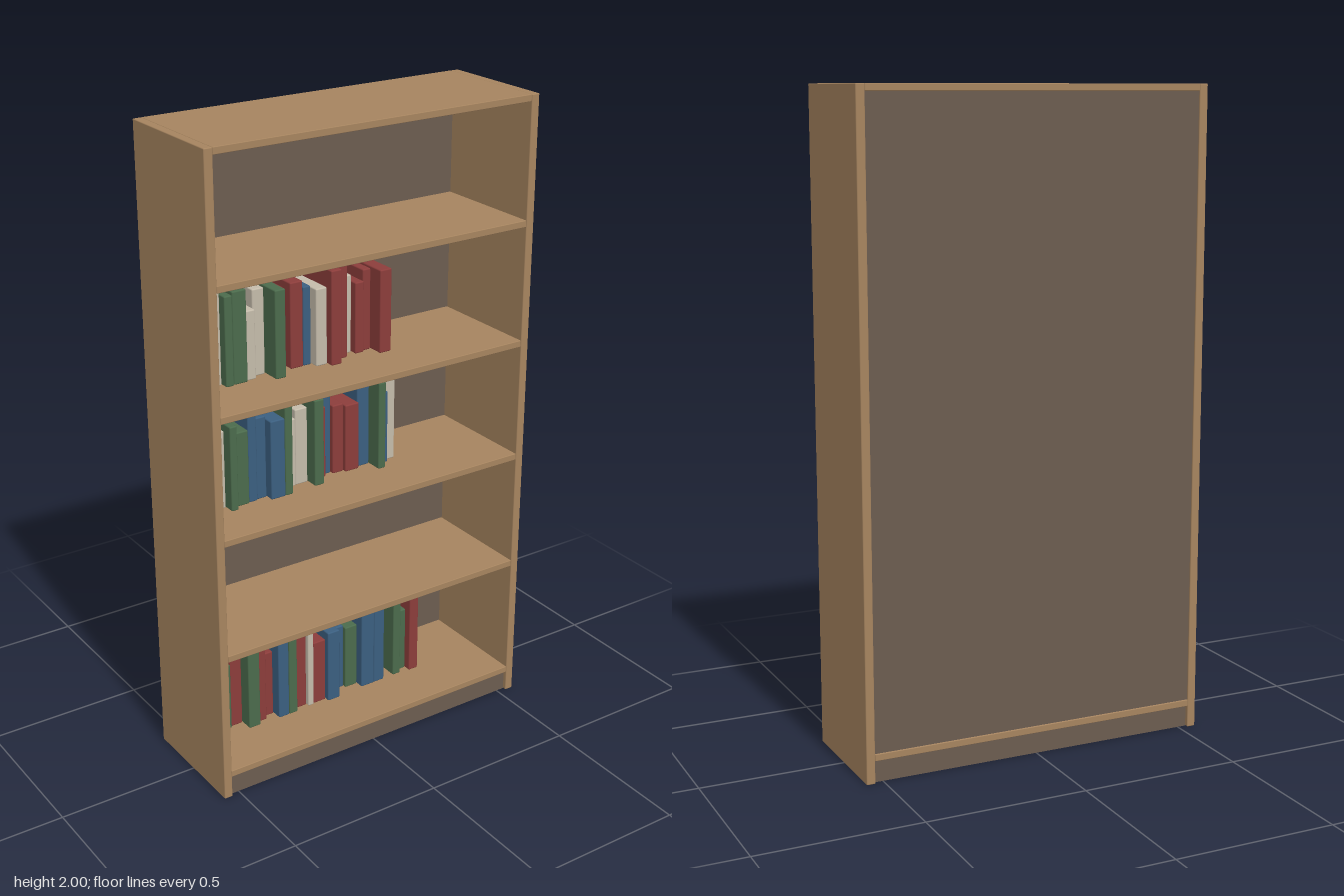
import * as THREE from 'three';
import { RoundedBoxGeometry } from 'three/addons/geometries/RoundedBoxGeometry.js';

const mat = (name, color) => {
  const m = new THREE.MeshStandardMaterial({ color });
  m.name = name;
  return m;
};

export function createModel() {
  const wood = mat('wood', 0xa6845f);
  const backing = mat('darkPanel', 0x6c5c50);
  const covers = {
    r: mat('redCover', 0x8c3d3b),
    g: mat('greenCover', 0x4b6b4c),
    b: mat('blueCover', 0x3b5f80),
    c: mat('creamCover', 0xc4bbaa),
  };

  const model = new THREE.Group();
  model.name = 'bookcase';

  // Box from min and max corners, with an optional softened edge
  function board(parent, name, material, min, max, radius = 0) {
    const size = max.map((v, i) => v - min[i]);
    const geometry = radius
      ? new RoundedBoxGeometry(...size, 2, radius)
      : new THREE.BoxGeometry(...size);
    const mesh = new THREE.Mesh(geometry, material);
    mesh.name = name;
    mesh.position.set(...max.map((v, i) => (v + min[i]) / 2));
    parent.add(mesh);
  }

  const W = 0.555, IN = 0.528, D = 0.193, T = 0.021;

  // Carcass
  board(model, 'rightSide', wood, [-W, 0, -D], [-IN, 2, D], 0.003);
  board(model, 'leftSide', wood, [IN, 0, -D], [W, 2, D], 0.003);
  board(model, 'backPanel', backing, [-IN, 0.08, -0.188], [IN, 1.985, -0.178]);
  board(model, 'plinth', backing, [-IN, 0, -0.18], [IN, 0.07, 0.18]);

  // Shelves, by the height of their upper faces; only the end boards reach the back
  const shelfTops = [0.09, 0.489, 0.867, 1.246, 1.625, 2];
  shelfTops.forEach((y, i) => {
    const end = i === 0 || i === 5;
    const name = i === 5 ? 'topBoard' : i === 0 ? 'bottomShelf' : 'shelf';
    board(model, name, wood, [-IN, y - T, end ? -D : -0.18], [IN, y, D - 0.001], 0.002);
  });

  // Rows of books: colour letter, thickness and height in thousandths
  const rows = [
    { y: 0.09, first: 0.01, last: 0.03, books:
      'b31,222 g33,222 g48,228 r41,281 g41,270 r31,260 r34,228 b38,270 g30,307 r43,270 c21,286 ' +
      'r46,222 b44,249 b44,228 g45,222 b49,275 b39,281 c36,233 g29,275 g31,222 r34,281' },
    { y: 0.867, first: -0.03, last: 0, books:
      'c30,289 c47,236 c27,246 g24,268 g47,236 b29,294 b34,262 b49,252 g26,305 c36,220 ' +
      'c43,246 g33,278 r31,231 b26,284 r39,225 r49,220 b44,284 g26,284 b28,236 c35,273' },
    { y: 1.246, first: 0.03, last: 0.04, books:
      'c39,254 b49,249 c23,302 g26,273 g46,281 c30,212 c39,265 g35,270 r39,244 r43,265 ' +
      'b26,244 c38,239 r36,292 r39,302 c31,244 r31,223 r28,255 r41,260' },
  ];
  // Right ends of the rows, used to spread the small gaps evenly
  const rowEnds = [0.281, 0.196, 0.151];

  let seed = 7;
  const random = () => (seed = (seed * 16807) % 2147483647) / 2147483647;

  rows.forEach((row, r) => {
    const group = new THREE.Group();
    group.name = 'bookRow';
    const books = row.books.split(' ').map((s) => {
      const [w, h] = s.slice(1).split(',').map((n) => n / 1000);
      return { colour: s[0], w, h };
    });
    const total = books.reduce((sum, b) => sum + b.w, 0);
    const gap = (rowEnds[r] + 0.522 - total) / (books.length - 1);
    let x = -0.522;
    books.forEach(({ colour, w, h }, i) => {
      let front = -0.03 + random() * 0.08;
      if (i === 0) front = row.first;
      if (i === books.length - 1) front = row.last;
      board(group, 'book', covers[colour], [x, row.y, -0.177], [x + w, row.y + h, front], 0.004);
      x += w + gap;
    });
    model.add(group);
  });

  return model;
}
